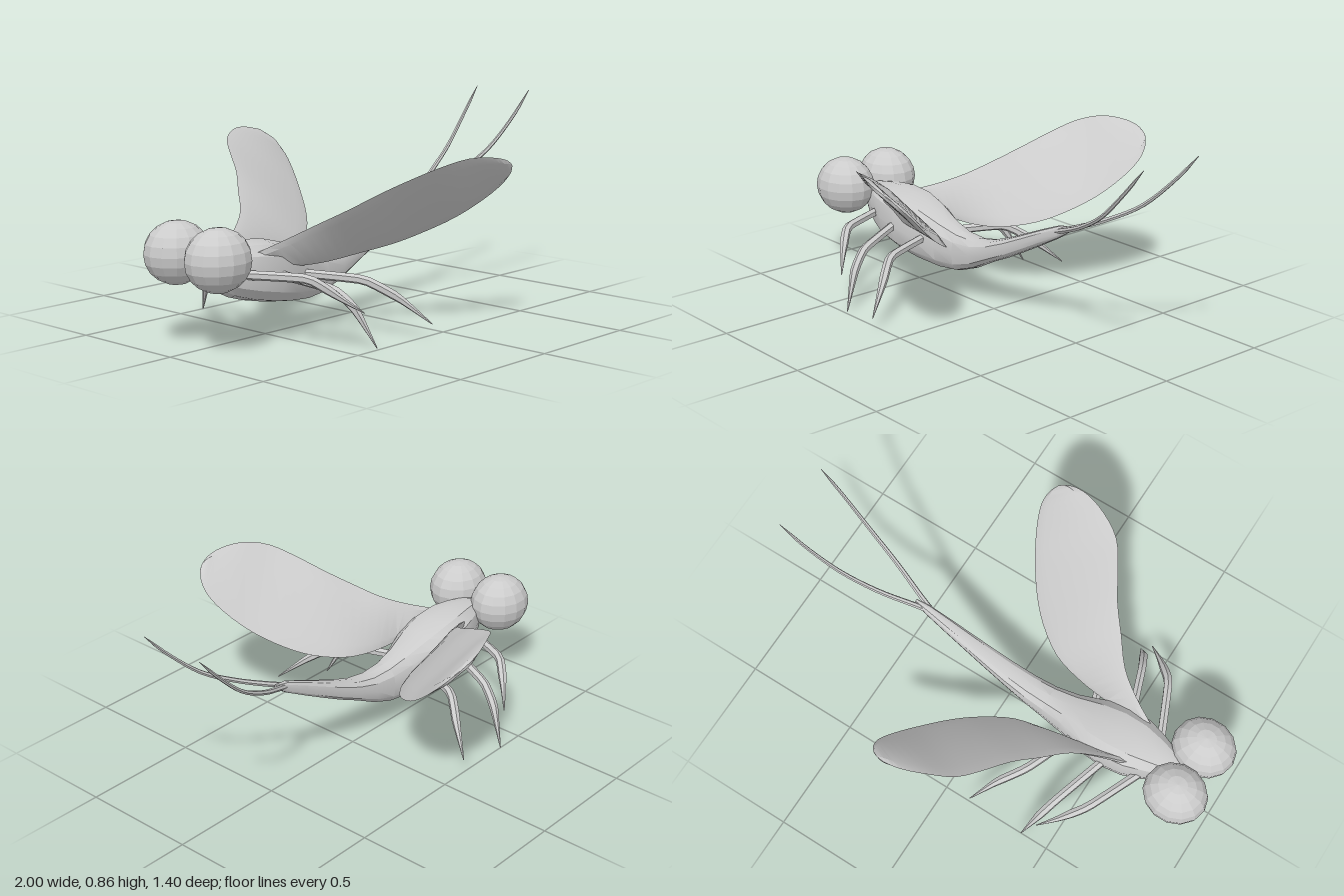
import * as THREE from 'three';
import { toCreasedNormals } from 'three/addons/utils/BufferGeometryUtils.js';

const V = (x, y, z) => new THREE.Vector3(x, y, z);
const flat = new THREE.MeshStandardMaterial({ color: 0xcccccc, flatShading: true });
const smooth = new THREE.MeshStandardMaterial({ color: 0xcccccc });

// Skin a list of equal-length rings and close both ends
function loft(rings) {
  const n = rings[0].length, pos = [], idx = [];
  rings.forEach(r => r.forEach(p => pos.push(p.x, p.y, p.z)));
  for (let i = 0; i < rings.length - 1; i++) {
    for (let j = 0; j < n; j++) {
      const a = i * n + j, b = i * n + (j + 1) % n;
      idx.push(a, a + n, b, b, a + n, b + n);
    }
  }
  const last = (rings.length - 1) * n;
  for (let j = 1; j < n - 1; j++) {
    idx.push(0, j, j + 1, last, last + j + 1, last + j);
  }
  const g = new THREE.BufferGeometry();
  g.setAttribute('position', new THREE.Float32BufferAttribute(pos, 3));
  g.setIndex(idx);
  return toCreasedNormals(g, 0.5);
}

// Tube along a path, its radius given by radius(t); low tension keeps the joints crisp
function taperedTube(points, radius, steps, sides, tension) {
  const curve = new THREE.CatmullRomCurve3(points, false, 'catmullrom', tension);
  const { normals, binormals } = curve.computeFrenetFrames(steps);
  const rings = [];
  for (let i = 0; i <= steps; i++) {
    const t = i / steps, c = curve.getPointAt(t), r = radius(t), ring = [];
    for (let j = 0; j < sides; j++) {
      const a = j / sides * Math.PI * 2;
      ring.push(c.clone().addScaledVector(normals[i], r * Math.cos(a))
        .addScaledVector(binormals[i], -r * Math.sin(a)));
    }
    rings.push(ring);
  }
  return loft(rings);
}

// Body sections: x, top y, bottom y, half width
const bodySections = [
  [-0.85, 0.36, 0.29, 0.03], [-0.78, 0.385, 0.225, 0.065], [-0.7, 0.398, 0.185, 0.1],
  [-0.62, 0.402, 0.16, 0.128], [-0.52, 0.392, 0.138, 0.136], [-0.42, 0.365, 0.122, 0.12],
  [-0.3, 0.322, 0.111, 0.084], [-0.2, 0.297, 0.122, 0.067], [-0.1, 0.292, 0.16, 0.059],
  [0, 0.31, 0.213, 0.052], [0.1, 0.347, 0.26, 0.044], [0.2, 0.39, 0.312, 0.036],
  [0.3, 0.434, 0.366, 0.028], [0.4, 0.475, 0.422, 0.019], [0.46, 0.483, 0.463, 0.008],
];

// Wing outline from root to tip, as matching points on the two edges
const leadingEdge = [[-0.64, 0.36, 0.09], [-0.52, 0.41, 0.15], [-0.425, 0.46, 0.215],
  [-0.345, 0.52, 0.31], [-0.265, 0.585, 0.405], [-0.2, 0.645, 0.51], [-0.135, 0.692, 0.598],
  [-0.04, 0.72, 0.655], [0.06, 0.717, 0.692], [0.13, 0.702, 0.7], [0.175, 0.683, 0.692]];
const trailingEdge = [[-0.55, 0.3, 0.09], [-0.4, 0.28, 0.11], [-0.26, 0.28, 0.13],
  [-0.13, 0.297, 0.165], [-0.01, 0.33, 0.245], [0.07, 0.373, 0.325], [0.15, 0.44, 0.435],
  [0.208, 0.523, 0.54], [0.23, 0.588, 0.61], [0.22, 0.635, 0.655], [0.197, 0.668, 0.681]];

// Leg paths: hip, knee, shin, tip; the second entry is the reach of the right-hand leg
const legs = [
  ['FrontLeg', 1, [[-0.7, 0.283, 0.06], [-0.585, 0.285, 0.32], [-0.5, 0.21, 0.41], [-0.43, 0.15, 0.47]]],
  ['MiddleLeg', 1.03, [[-0.54, 0.27, 0.09], [-0.455, 0.225, 0.33], [-0.42, 0.155, 0.41], [-0.375, 0.005, 0.485]]],
  ['HindLeg', 0.92, [[-0.38, 0.24, 0.06], [-0.28, 0.235, 0.325], [-0.195, 0.165, 0.435], [-0.12, 0.065, 0.545]]],
];
const tailPath = [[0.38, 0.445, 0], [0.46, 0.475, 0.025], [0.6, 0.535, 0.072],
  [0.75, 0.622, 0.11], [0.89, 0.75, 0.135], [0.995, 0.865, 0.145]];

// Thin lens-shaped blade between the two edges
function wing(path) {
  const lead = new THREE.CatmullRomCurve3(path(leadingEdge)).getPoints(30);
  const trail = new THREE.CatmullRomCurve3(path(trailingEdge)).getPoints(30);
  const along = lead[30].clone().sub(lead[0]);
  return loft(lead.map((l, i) => {
    const up = along.clone().cross(trail[i].clone().sub(l)).normalize();
    const h = 0.011 * Math.min(1, (30.5 - i) / 4);
    const at = (f, d) => l.clone().lerp(trail[i], f).addScaledVector(up, d);
    return [at(0, 0), at(0.15, h), at(0.85, h), at(1, 0), at(0.85, -h), at(0.15, -h)];
  }));
}

export function createModel() {
  const model = new THREE.Group();
  model.name = 'insect';
  const add = (name, geometry, material) => {
    const mesh = new THREE.Mesh(geometry, material);
    mesh.name = name;
    model.add(mesh);
    return mesh;
  };

  // Thorax and tapering abdomen in one skin, slightly squared in section
  const bulge = v => Math.sign(v) * Math.abs(v) ** 0.82;
  add('body', loft(bodySections.map(([x, top, bottom, half]) =>
    Array.from({ length: 12 }, (_, j) => {
      const a = j / 12 * Math.PI * 2;
      return V(x, (top + bottom) / 2 + bulge(Math.sin(a)) * (top - bottom) / 2, bulge(Math.cos(a)) * half);
    }))), smooth);

  // Paired parts; the head points to -x, so the insect's left is +z
  for (const [side, s] of [['left', 1], ['right', -1]]) {
    const path = (pts, reach = 1) => pts.map(([x, y, z]) => V(x, y, z * s * reach));

    const eye = add(side + 'Eye', new THREE.SphereGeometry(1, 14, 10), flat);
    eye.scale.set(0.137, 0.125, 0.122);
    eye.position.set(-0.863, 0.372, 0.009 + 0.115 * s);

    add(side + 'Wing', wing(path), smooth);

    for (const [name, rightReach, pts] of legs) {
      const route = path(pts, s < 0 ? rightReach : 1);
      add(side + name, taperedTube(route, t => 0.019 * Math.min(1, (1 - t) * 2.8 + 0.1), 16, 6, 0.2), smooth);
    }

    const filament = taperedTube(path(tailPath), t => 0.012 * Math.min(1 - t * 0.5, (1 - t) * 4 + 0.1), 18, 6, 0.5);
    add(side + 'TailFilament', filament, smooth).position.z = 0.005;
  }
  return model;
}
